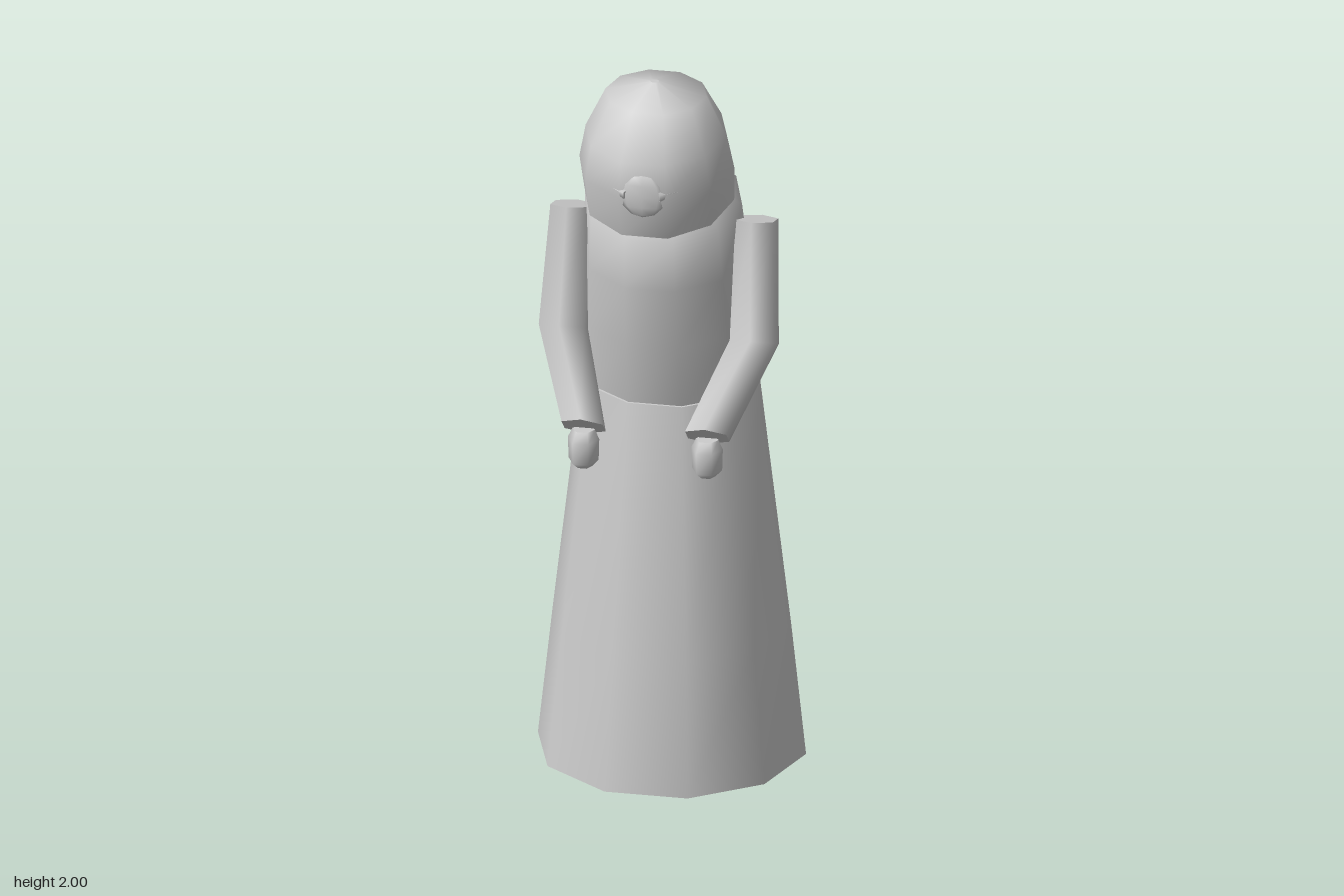
import * as THREE from 'three';

const grey = new THREE.MeshStandardMaterial({ color: 0xcccccc });
grey.name = 'pale grey';

// Smooth closed loft. Each ring is [frontZ, frontY, backZ, backY, halfWidth, centreX], from bottom to top.
function loft(name, sides, rings, turn = 0) {
  const pos = [], idx = [];
  const angles = Array.from({ length: sides }, (_, j) => turn + (j / sides) * Math.PI * 2);
  const maxSin = Math.max(...angles.map((a) => Math.sin(a)));
  const maxCos = Math.max(...angles.map((a) => Math.cos(a)));
  const ringPoints = ([fz, fy, bz, by, w, cx = 0]) => angles.map((a) => {
    const t = Math.sin(a) / maxSin;
    return [cx + (w * Math.cos(a)) / maxCos, (fy + by) / 2 + (t * (fy - by)) / 2, (fz + bz) / 2 + (t * (fz - bz)) / 2];
  });
  rings.forEach((r) => ringPoints(r).forEach((p) => pos.push(...p)));
  for (let i = 0; i < rings.length - 1; i++) {
    for (let j = 0; j < sides; j++) {
      const a = i * sides + j, b = i * sides + ((j + 1) % sides);
      idx.push(a, a + sides, b, b, a + sides, b + sides);
    }
  }
  // End caps have their own vertices so that their edges stay sharp
  [rings[0], rings[rings.length - 1]].forEach((r, top) => {
    const start = pos.length / 3;
    ringPoints(r).forEach((p) => pos.push(...p));
    for (let j = 1; j < sides - 1; j++) {
      if (top) idx.push(start, start + j + 1, start + j);
      else idx.push(start, start + j, start + j + 1);
    }
  });
  const geo = new THREE.BufferGeometry();
  geo.setAttribute('position', new THREE.Float32BufferAttribute(pos, 3));
  geo.setIndex(idx);
  geo.computeVertexNormals();
  const mesh = new THREE.Mesh(geo, grey);
  mesh.name = name;
  return mesh;
}

export function createModel() {
  const model = new THREE.Group();
  model.name = 'robedFigure';

  // Long flared skirt
  model.add(loft('skirt', 10, [
    [0.312, 0, -0.37, 0, 0.358],
    [0.272, 0.37, -0.333, 0.37, 0.318],
    [0.2, 1.07, -0.248, 1.07, 0.236],
  ]));

  // Stooped torso with a tilted hem
  model.add(loft('torso', 10, [
    [0.19, 1.055, -0.242, 1.12, 0.232],
    [0.235, 1.25, -0.21, 1.3, 0.228],
    [0.268, 1.43, -0.185, 1.46, 0.22],
    [0.275, 1.57, -0.11, 1.655, 0.21],
    [0.2, 1.64, -0.045, 1.68, 0.13],
  ]));

  // Hooded head leaning forward
  model.add(loft('head', 10, [
    [0.33, 1.61, -0.055, 1.69, 0.2],
    [0.363, 1.73, -0.025, 1.78, 0.207],
    [0.36, 1.83, 0.0, 1.87, 0.188],
    [0.29, 1.945, 0.07, 1.972, 0.135],
    [0.21, 2.0, 0.19, 2.0, 0.012],
  ]));

  // Round nose with a small spike on each side
  const nose = new THREE.Mesh(new THREE.SphereGeometry(0.062, 8, 6), grey);
  nose.name = 'nose';
  nose.scale.z = 0.25;
  nose.position.set(0, 1.74, 0.357);
  model.add(nose);

  for (const s of [1, -1]) {
    const side = s > 0 ? 'left' : 'right';
    const spike = new THREE.Mesh(new THREE.ConeGeometry(0.016, 0.08, 5), grey);
    spike.name = side + 'FaceSpike';
    spike.position.set(s * 0.078, 1.748, 0.343);
    spike.quaternion.setFromUnitVectors(new THREE.Vector3(0, 1, 0), new THREE.Vector3(s, 0.12, -0.5).normalize());
    model.add(spike);

    // Bent sleeve: cuff, elbow, shoulder
    model.add(loft(side + 'Arm', 6, [
      [0.362, 1.085, 0.28, 1.01, 0.055, s * 0.165],
      [0.2, 1.275, 0.09, 1.225, 0.06, s * 0.255],
      [0.145, 1.59, 0.0, 1.55, 0.05, s * 0.247],
    ], Math.PI / 6));

    // Small fist below the cuff
    model.add(loft(side + 'Hand', 6, [
      [0.34, 0.935, 0.3, 0.935, 0.022, s * 0.165],
      [0.363, 0.955, 0.278, 0.955, 0.04, s * 0.165],
      [0.365, 1.015, 0.278, 1.015, 0.042, s * 0.165],
      [0.345, 1.04, 0.295, 1.04, 0.03, s * 0.165],
    ]));
  }
  return model;
}
